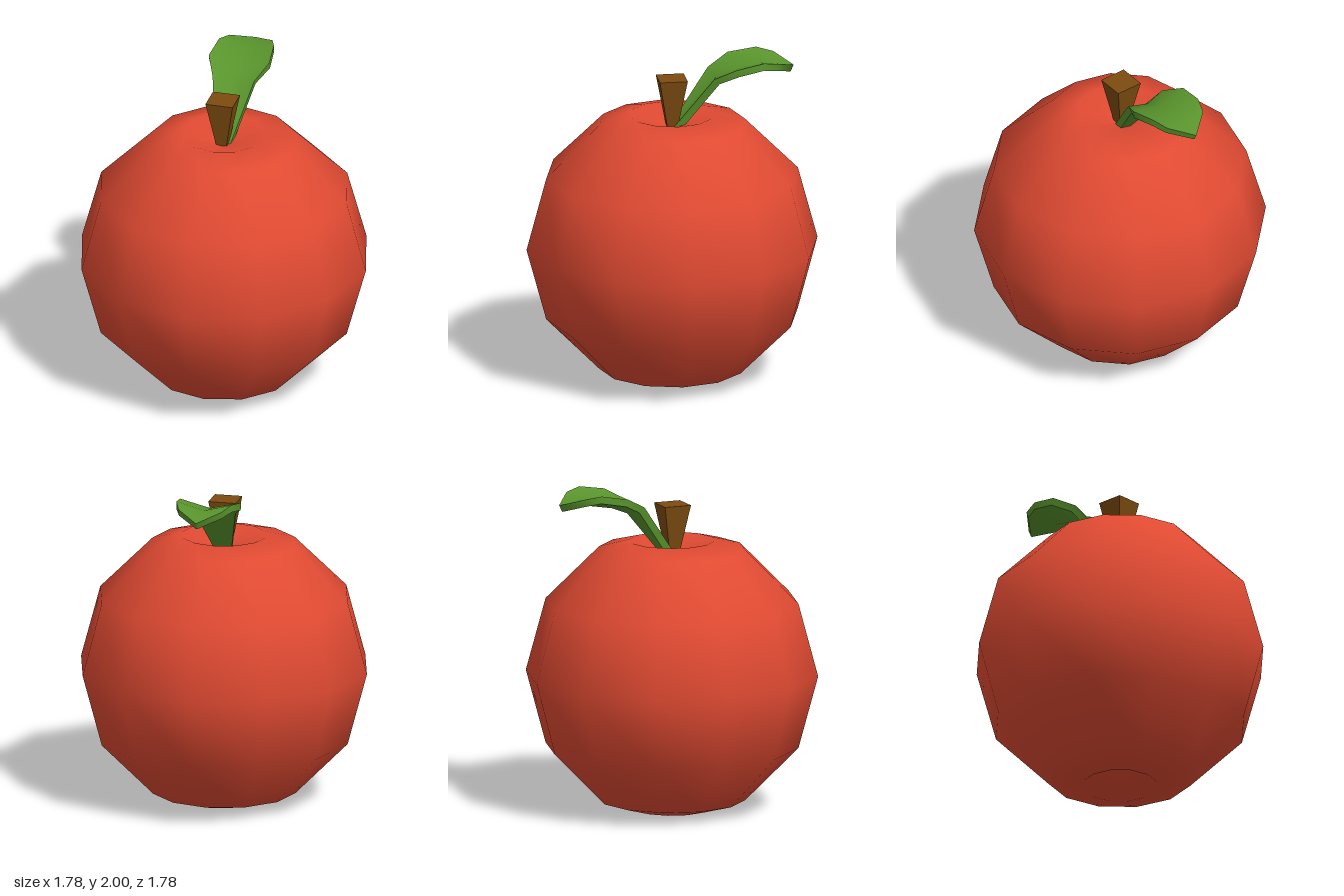
import * as THREE from 'three';
import { toCreasedNormals } from 'three/addons/utils/BufferGeometryUtils.js';

const material = (color, extra = {}) => new THREE.MeshStandardMaterial({ color, ...extra });

function part(name, geometry, mat) {
  const mesh = new THREE.Mesh(geometry, mat);
  mesh.name = name;
  return mesh;
}

// Round fruit, twelve sides, dimpled at both poles
function createFruit() {
  const profile = [
    [0, 0.16], [0.23, 0], [0.445, 0.06], [0.77, 0.39], [0.89, 0.835],
    [0.77, 1.28], [0.445, 1.606], [0.26, 1.655], [0, 1.57],
  ].map(([r, y]) => new THREE.Vector2(r, y));
  return part('fruit', new THREE.LatheGeometry(profile, 12), material(0xe04a32));
}

// Square stem, wider at the top
function createStem() {
  const bottom = 1.55, top = 1.88;
  const geometry = new THREE.CylinderGeometry(0.085 * Math.SQRT2, 0.027 * Math.SQRT2, top - bottom, 4);
  geometry.rotateY(Math.PI / 4);
  geometry.translate(-0.008, (top + bottom) / 2, 0);
  return part('stem', geometry, material(0x7d4c10, { flatShading: true }));
}

// Thick leaf arching backwards, folded into a shallow V along its middle
function createLeaf() {
  const thickness = 0.045;
  // z, y of the rim, half width, depth of the fold
  const stations = [
    [0, 1.575, 0.045, 0.012], [-0.24, 1.9, 0.13, 0.035], [-0.37, 1.97, 0.19, 0.045],
    [-0.54, 2.0, 0.172, 0.045], [-0.64, 1.98, 0.135, 0.035], [-0.745, 1.93, 0.004, 0],
  ];
  const positions = [], index = [];
  stations.forEach(([z, y, w, fold], i) => {
    const a = stations[Math.max(i - 1, 0)];
    const b = stations[Math.min(i + 1, stations.length - 1)];
    const length = Math.hypot(b[0] - a[0], b[1] - a[1]);
    // Normal of the arch, pointing to the upper side
    const nz = (b[1] - a[1]) / length, ny = (a[0] - b[0]) / length;
    const section = [[-w, 0], [0, fold], [w, 0], [w, thickness], [0, fold + thickness], [-w, thickness]];
    for (const [x, d] of section) positions.push(x - 0.008, y - ny * d, z - nz * d);
  });

  const n = 6;
  for (let i = 0; i < stations.length - 1; i++) {
    for (let j = 0; j < n; j++) {
      const a = i * n + j, b = i * n + (j + 1) % n;
      index.push(a, b, b + n, a, b + n, a + n);
    }
  }
  // End caps
  const e = (stations.length - 1) * n;
  for (const [a, b, c, d] of [[0, 5, 4, 1], [1, 4, 3, 2]]) {
    index.push(a, b, c, a, c, d);
    index.push(e + a, e + c, e + b, e + a, e + d, e + c);
  }
  const geometry = new THREE.BufferGeometry();
  geometry.setAttribute('position', new THREE.Float32BufferAttribute(positions, 3));
  geometry.setIndex(index);
  return part('leaf', toCreasedNormals(geometry, 0.8), material(0x5a962d, { side: THREE.DoubleSide }));
}

export function createModel() {
  const model = new THREE.Group();
  model.name = 'apple';
  model.add(createFruit(), createStem(), createLeaf());
  return model;
}
